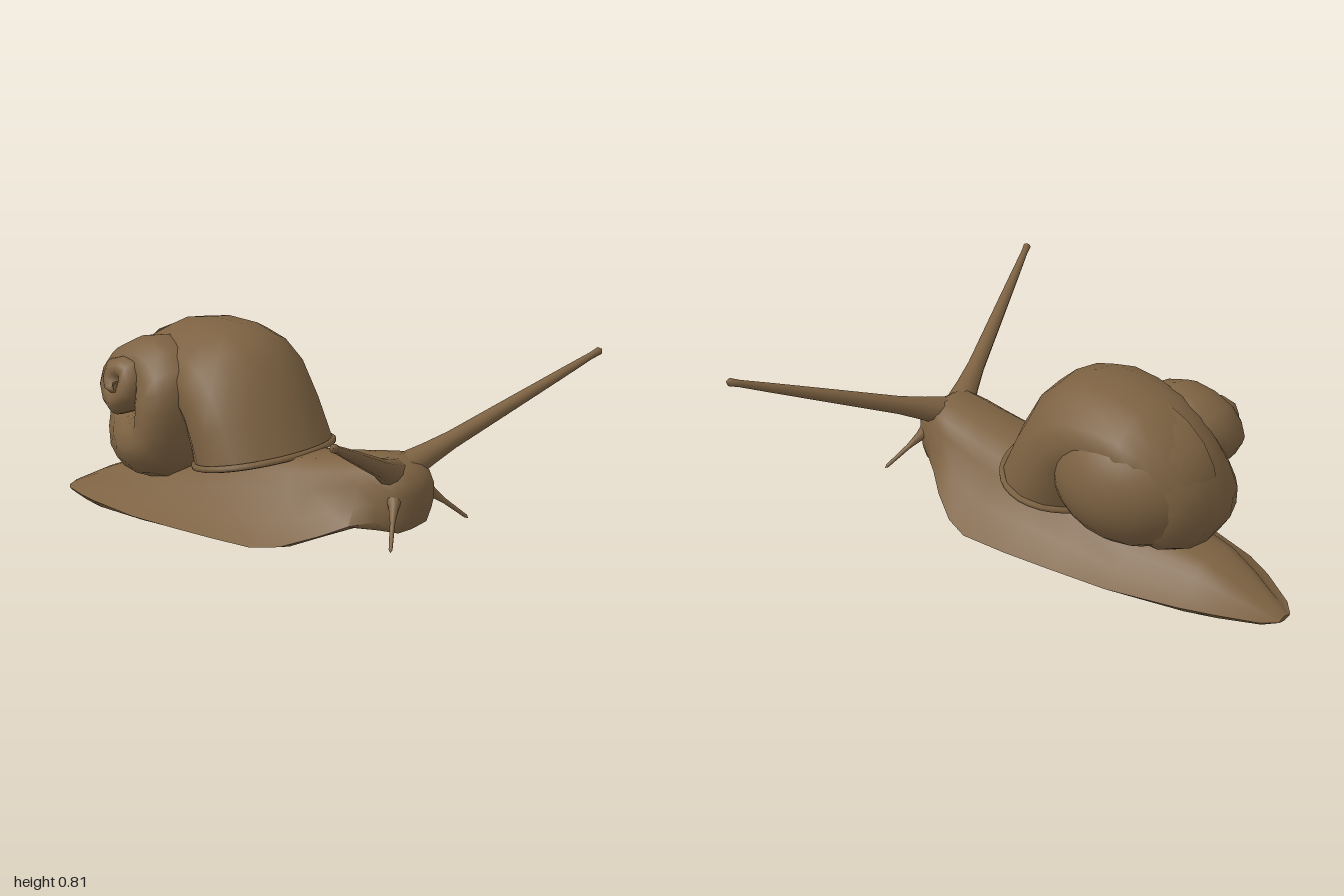
import * as THREE from 'three';
import { toCreasedNormals } from 'three/addons/utils/BufferGeometryUtils.js';

const skin = new THREE.MeshStandardMaterial({ color: 0x7d6242, side: THREE.DoubleSide });
skin.name = 'snail brown';

// Skin a list of closed rings (arrays of Vector3), optionally capping the ends.
function loft(rings, capStart, capEnd) {
  const n = rings[0].length, pos = [], idx = [];
  rings.forEach(r => r.forEach(p => pos.push(p.x, p.y, p.z)));
  for (let i = 0; i < rings.length - 1; i++) {
    for (let j = 0; j < n; j++) {
      const a = i * n + j, b = i * n + (j + 1) % n;
      idx.push(a, a + n, b, b, a + n, b + n);
    }
  }
  const cap = (ring, start, flip) => {
    const c = ring.reduce((s, p) => s.add(p), new THREE.Vector3()).divideScalar(n);
    const k = pos.length / 3;
    pos.push(c.x, c.y, c.z);
    for (let j = 0; j < n; j++) {
      const a = start + j, b = start + (j + 1) % n;
      if (flip) idx.push(k, a, b); else idx.push(k, b, a);
    }
  };
  if (capStart) cap(rings[0], 0, true);
  if (capEnd) cap(rings[rings.length - 1], (rings.length - 1) * n, false);
  const g = new THREE.BufferGeometry();
  g.setAttribute('position', new THREE.Float32BufferAttribute(pos, 3));
  g.setIndex(idx);
  g.computeVertexNormals();
  return g;
}

function add(group, name, geometry) {
  const m = new THREE.Mesh(geometry, skin);
  m.name = name;
  group.add(m);
  return m;
}

// Body stations: x, foot half width, foot edge y, sole y, back half width, back y
const BODY = [
  [-1, 0.04, 0.018, 0.008, 0.02, 0.025],
  [-0.95, 0.095, 0.025, 0.003, 0.05, 0.05],
  [-0.8, 0.185, 0.045, 0.008, 0.1, 0.125],
  [-0.68, 0.24, 0.055, 0.012, 0.13, 0.175],
  [-0.4, 0.32, 0.065, 0.03, 0.18, 0.22],
  [-0.15, 0.355, 0.075, 0.042, 0.19, 0.29],
  [0.05, 0.382, 0.085, 0.06, 0.19, 0.35],
  [0.25, 0.39, 0.09, 0.078, 0.18, 0.37],
  [0.36, 0.352, 0.105, 0.085, 0.165, 0.385],
  [0.48, 0.28, 0.15, 0.135, 0.155, 0.405],
  [0.57, 0.21, 0.19, 0.17, 0.15, 0.42],
  [0.65, 0.155, 0.21, 0.165, 0.14, 0.432],
  [0.715, 0.115, 0.22, 0.158, 0.125, 0.39],
  [0.755, 0.08, 0.27, 0.23, 0.08, 0.36],
];

function bodyRing([x, w, ye, yb, n, yt]) {
  const h = yt - ye;
  const half = [
    [w, ye],
    [n + (w - n) * 0.38, ye + h * 0.29],
    [n, ye + h * 0.62],
    [n * 0.85, ye + h * 0.84],
    [n * 0.48, yt],
  ];
  const pts = [...half, [0, yt + 0.003], ...half.slice().reverse().map(([z, y]) => [-z, y]),
    [-w * 0.82, yb + 0.006], [0, yb], [w * 0.82, yb + 0.006]];
  return pts.map(([z, y]) => new THREE.Vector3(x, y, z));
}

// Shell whorls from mouth to apex: outer x, y, inner x, y, back z, front z
const SHELL = [
  [0.235, 0.37, -0.24, 0.28, -0.34, 0.3],
  [0.05, 0.695, -0.28, 0.4, -0.355, 0.28],
  [-0.15, 0.81, -0.38, 0.46, -0.345, 0.22],
  [-0.46, 0.79, -0.45, 0.48, -0.34, 0.14],
  [-0.65, 0.645, -0.48, 0.48, -0.3, 0.12],
  [-0.74, 0.42, -0.48, 0.49, -0.27, 0.16],
  [-0.64, 0.22, -0.47, 0.5, -0.26, 0.25],
  [-0.45, 0.165, -0.46, 0.5, -0.24, 0.31],
  [-0.26, 0.25, -0.45, 0.5, -0.16, 0.33],
  [-0.2, 0.48, -0.46, 0.52, -0.08, 0.33],
  [-0.22, 0.67, -0.47, 0.55, -0.03, 0.3],
  [-0.4, 0.765, -0.49, 0.57, -0.02, 0.26],
  [-0.59, 0.7, -0.5, 0.58, 0.01, 0.26],
  [-0.645, 0.55, -0.5, 0.59, 0.06, 0.28],
  [-0.53, 0.44, -0.5, 0.59, 0.1, 0.32],
  [-0.39, 0.53, -0.5, 0.6, 0.12, 0.33],
  [-0.42, 0.68, -0.5, 0.6, 0.14, 0.305],
  [-0.56, 0.67, -0.49, 0.59, 0.17, 0.305],
  [-0.56, 0.56, -0.48, 0.59, 0.2, 0.325],
  [-0.47, 0.55, -0.48, 0.6, 0.24, 0.335],
  [-0.48, 0.59, -0.48, 0.6, 0.31, 0.335],
];

function shellRings(steps, sides) {
  const curve = f => new THREE.CatmullRomCurve3(SHELL.map(f), false, 'catmullrom', 0.5);
  const outer = curve(s => new THREE.Vector3(s[0], s[1], s[4]));
  const inner = curve(s => new THREE.Vector3(s[2], s[3], s[5]));
  return Array.from({ length: steps + 1 }, (_, i) => {
    const o = outer.getPoint(i / steps), q = inner.getPoint(i / steps);
    const c = o.clone().add(q).multiplyScalar(0.5);
    const b = (q.z - o.z) / 2;
    return Array.from({ length: sides }, (_, j) => {
      const a = (j / sides) * Math.PI * 2, k = Math.cos(a);
      return new THREE.Vector3(c.x + (o.x - c.x) * k, c.y + (o.y - c.y) * k, c.z + b * Math.sin(a));
    });
  });
}

// Tapered feeler between two points, turned from a list of radii
function feeler(from, to, radii) {
  const len = from.distanceTo(to);
  const pts = radii.map(([t, r]) => new THREE.Vector2(r, t * len));
  const g = new THREE.LatheGeometry(pts, 10);
  const q = new THREE.Quaternion().setFromUnitVectors(
    new THREE.Vector3(0, 1, 0), to.clone().sub(from).normalize());
  g.applyQuaternion(q);
  g.translate(from.x, from.y, from.z);
  return g;
}

export function createModel() {
  const model = new THREE.Group();
  model.name = 'snail';

  // Foot, neck and head in one skin
  add(model, 'body', toCreasedNormals(loft(BODY.map(bodyRing), true, true), 1.0));

  // Coiled shell, open at the mouth, with a rolled lip
  const rings = shellRings(40, 16);
  add(model, 'shell', loft(rings, false, true));
  const rim = new THREE.CatmullRomCurve3(rings[0], true);
  add(model, 'shellLip', new THREE.TubeGeometry(rim, 40, 0.014, 6, true));

  // Domed back closing the middle of the largest whorl
  const dome = new THREE.SphereGeometry(1, 20, 8, 0, Math.PI * 2, 0, Math.PI / 2);
  dome.rotateX(-Math.PI / 2);
  dome.scale(0.35, 0.305, 0.335);
  dome.translate(-0.37, 0.485, -0.06);
  add(model, 'shellBack', dome);

  // Eye stalks and lower feelers, mirrored across the body
  for (const s of [1, -1]) {
    const side = s > 0 ? 'Left' : 'Right';
    add(model, 'eyeStalk' + side, feeler(
      new THREE.Vector3(0.65, 0.375, 0.05 * s), new THREE.Vector3(0.993, 0.722, 0.89 * s),
      [[0, 0.06], [0.1, 0.047], [0.22, 0.036], [0.5, 0.028], [0.8, 0.019], [0.94, 0.014], [0.985, 0.016], [1, 0]]));
    add(model, 'lowerFeeler' + side, feeler(
      new THREE.Vector3(0.69, 0.31, 0.085 * s), new THREE.Vector3(0.795, 0.15, 0.26 * s),
      [[0, 0.04], [0.25, 0.019], [0.5, 0.01], [0.95, 0.007], [1, 0]]));
  }
  return model;
}
